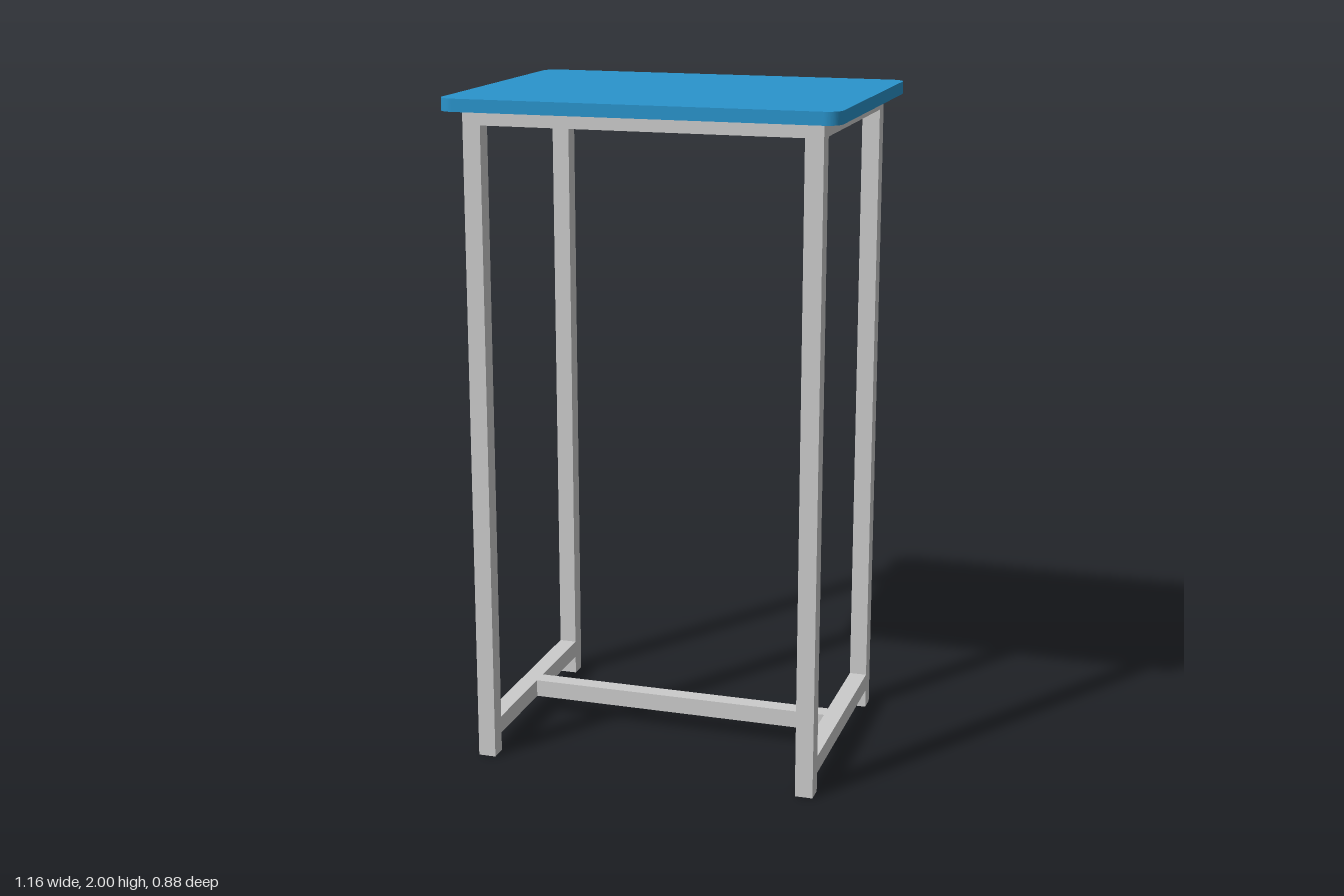
import * as THREE from 'three';

const TUBE = 0.053;                  // square tube width
const LEG_X = 0.497, LEG_Z = 0.358;  // leg centre lines
const TOP_Y = 1.963;                 // underside of the table top

function roundedRect(w, d, r) {
  const x = w / 2, y = d / 2;
  const s = new THREE.Shape();
  s.absarc(x - r, y - r, r, 0, Math.PI / 2);
  s.absarc(-x + r, y - r, r, Math.PI / 2, Math.PI);
  s.absarc(-x + r, -y + r, r, Math.PI, Math.PI * 1.5);
  s.absarc(x - r, -y + r, r, Math.PI * 1.5, Math.PI * 2);
  s.closePath();
  return s;
}

export function createModel() {
  const model = new THREE.Group();
  const grey = new THREE.MeshStandardMaterial({ color: 0xcccccc });
  const blue = new THREE.MeshStandardMaterial({ color: 0x2a94cc });

  const add = (name, geometry, material, x, y, z) => {
    const mesh = new THREE.Mesh(geometry, material);
    mesh.name = name;
    mesh.position.set(x, y, z);
    model.add(mesh);
    return mesh;
  };
  const bar = (name, w, h, d, x, y, z) =>
    add(name, new THREE.BoxGeometry(w, h, d), grey, x, y, z);

  // Table top with rounded corners and a plain grey underside
  const outline = roundedRect(1.156, 0.88, 0.045);
  const slab = new THREE.ExtrudeGeometry(outline, {
    depth: 2 - TOP_Y, bevelEnabled: false, curveSegments: 10,
  });
  slab.rotateX(-Math.PI / 2);
  add('tableTop', slab, blue, 0, TOP_Y, 0);
  const under = new THREE.ShapeGeometry(outline, 10);
  under.rotateX(Math.PI / 2);
  add('tableTopUnderside', under, grey, 0, TOP_Y - 0.001, 0);

  // Legs
  for (const [sx, side] of [[1, 'left'], [-1, 'right']]) {
    for (const [sz, end] of [[1, 'Front'], [-1, 'Back']]) {
      bar(`${side}${end}Leg`, TUBE, TOP_Y, TUBE, sx * LEG_X, TOP_Y / 2, sz * LEG_Z);
    }
  }

  // Upper frame rails between the legs
  const railH = 0.042, railY = TOP_Y - railH / 2;
  const spanX = 2 * LEG_X - TUBE, spanZ = 2 * LEG_Z - TUBE;
  bar('frontTopRail', spanX, railH, TUBE, 0, railY, LEG_Z);
  bar('backTopRail', spanX, railH, TUBE, 0, railY, -LEG_Z);
  bar('leftTopRail', TUBE, railH, spanZ, LEG_X, railY, 0);
  bar('rightTopRail', TUBE, railH, spanZ, -LEG_X, railY, 0);

  // Low H-shaped stretcher
  const lowY = 0.084;
  bar('leftStretcher', TUBE, TUBE, spanZ, LEG_X, lowY, 0);
  bar('rightStretcher', TUBE, TUBE, spanZ, -LEG_X, lowY, 0);
  bar('middleStretcher', spanX, TUBE, TUBE, 0, lowY, 0);

  return model;
}
